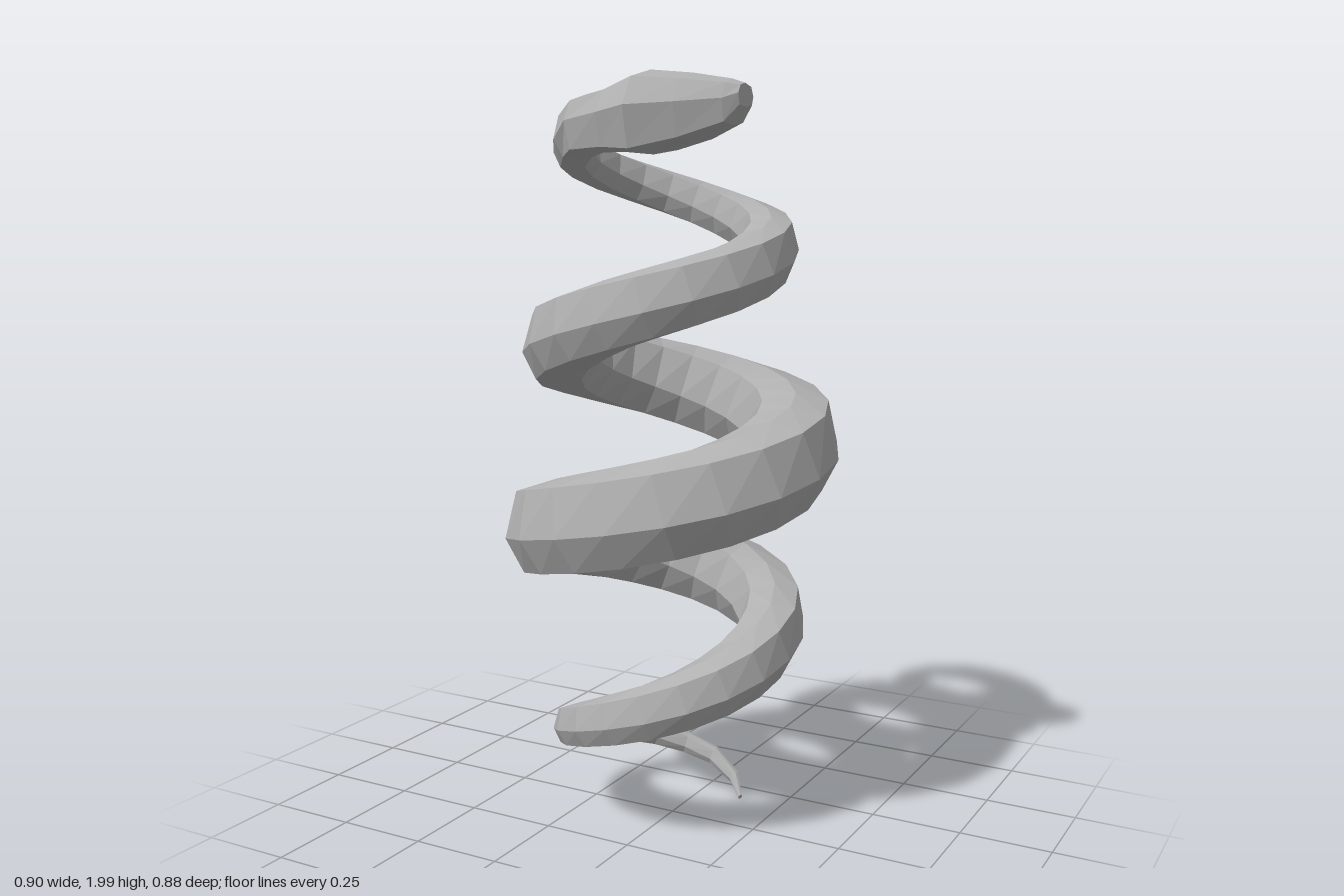
import * as THREE from 'three';

// Cross-section of the body: flat back, widest below the middle, narrow belly.
const BODY = [[1, -0.2], [0.74, 0.82], [0, 1], [-0.74, 0.82], [-1, -0.2], [-0.62, -0.95], [0, -1], [0.62, -0.95]];
// Cross-section of the head: rounded crown, broad flat jaw.
const HEAD = [[1, 0.1], [0.72, 0.78], [0.1, 1], [-0.72, 0.72], [-1, -0.1], [-0.82, -0.85], [0, -1], [0.85, -0.9]];

// Coil shape each 90 degrees, from 180 (neck) to 1350 (tail): radius, half thickness, height.
const COIL = [
  [0.268, 0.052, 1.80], [0.252, 0.06, 1.67], [0.262, 0.076, 1.545], [0.283, 0.088, 1.415],
  [0.308, 0.102, 1.27], [0.325, 0.116, 1.145], [0.325, 0.122, 1.03], [0.32, 0.125, 0.905],
  [0.33, 0.12, 0.775], [0.315, 0.105, 0.635], [0.258, 0.082, 0.505], [0.256, 0.066, 0.365],
  [0.284, 0.045, 0.215], [0.255, 0.024, 0.085],
];

// One ring of points around a centre, spanned by a side and an up vector.
function ring(profile, centre, side, up, halfWidth, halfHeight) {
  return profile.map(([a, b]) => centre.clone()
    .addScaledVector(side, a * halfWidth)
    .addScaledVector(up, b * halfHeight));
}

// Ring on the coil at an angle, leaning with the climb.
function coilRing(degrees, radius, half, y, lean = 0.27) {
  const t = THREE.MathUtils.degToRad(degrees);
  const side = new THREE.Vector3(Math.cos(t), 0, Math.sin(t));
  const up = new THREE.Vector3(-Math.sin(t) * Math.sin(lean), Math.cos(lean), Math.cos(t) * Math.sin(lean));
  const centre = side.clone().multiplyScalar(radius).setY(y);
  return ring(profileFor(degrees), centre, side, up, half, half);
}

function profileFor(degrees) {
  return degrees < 130 ? HEAD : BODY;
}

// Faceted skin through a list of rings, closed at the far ends when asked.
function loft(rings, capStart, capEnd) {
  const pos = [];
  const tri = (...pts) => pts.forEach((p) => pos.push(p.x, p.y, p.z));
  const n = rings[0].length;
  for (let i = 0; i < rings.length - 1; i++) {
    for (let j = 0; j < n; j++) {
      const k = (j + 1) % n;
      const a = rings[i][j], b = rings[i + 1][j], c = rings[i + 1][k], d = rings[i][k];
      tri(a, b, c);
      tri(a, c, d);
    }
  }
  const cap = (r, flip) => {
    const mid = r.reduce((s, p) => s.add(p), new THREE.Vector3()).divideScalar(n);
    for (let j = 0; j < n; j++) {
      const k = (j + 1) % n;
      if (flip) tri(mid, r[j], r[k]);
      else tri(mid, r[k], r[j]);
    }
  };
  if (capStart) cap(rings[0], true);
  if (capEnd) cap(rings[rings.length - 1], false);
  const geo = new THREE.BufferGeometry();
  geo.setAttribute('position', new THREE.Float32BufferAttribute(pos, 3));
  geo.computeVertexNormals();
  return geo;
}

export function createModel() {
  const group = new THREE.Group();
  group.name = 'coiledSnake';
  const grey = new THREE.MeshStandardMaterial({ color: 0xb0b0b0 });
  grey.name = 'grey';

  // Body: from the tail tip up three and a half turns to the neck
  const curve = new THREE.CatmullRomCurve3(COIL.map((c) => new THREE.Vector3(...c)), false, 'catmullrom', 0.5);
  const body = [coilRing(1387, 0.212, 0.006, 0.012), coilRing(1370, 0.238, 0.016, 0.045)];
  for (let a = 1350; a >= 180; a -= 19.5) {
    const p = curve.getPoint((a - 180) / 1170);
    body.push(coilRing(a, p.x, p.y, p.z));
  }
  body.push(coilRing(160, 0.262, 0.053, 1.825, 0.25));
  body.push(coilRing(140, 0.25, 0.06, 1.855, 0.2));
  const neck = coilRing(120, 0.242, 0.072, 1.878, 0.1);
  body.push(neck);

  // Head: wide jaw narrowing to a blunt snout; x, z, y, half width, half height
  const side = new THREE.Vector3(0, 0, 1);
  const up = new THREE.Vector3(0, 1, 0);
  const head = [neck];
  for (const [x, z, y, w, h] of [
    [-0.02, 0.215, 1.888, 0.132, 0.08],
    [0.065, 0.213, 1.9, 0.152, 0.1],
    [0.18, 0.215, 1.907, 0.113, 0.081],
    [0.285, 0.22, 1.917, 0.063, 0.053],
    [0.318, 0.222, 1.932, 0.04, 0.027],
  ]) {
    head.push(ring(HEAD, new THREE.Vector3(x, y, z), side, up, w, h));
  }

  const parts = { body: loft(body, true, false), head: loft(head, false, true) };
  for (const [name, geo] of Object.entries(parts)) {
    const mesh = new THREE.Mesh(geo, grey);
    mesh.name = name;
    group.add(mesh);
  }
  return group;
}
